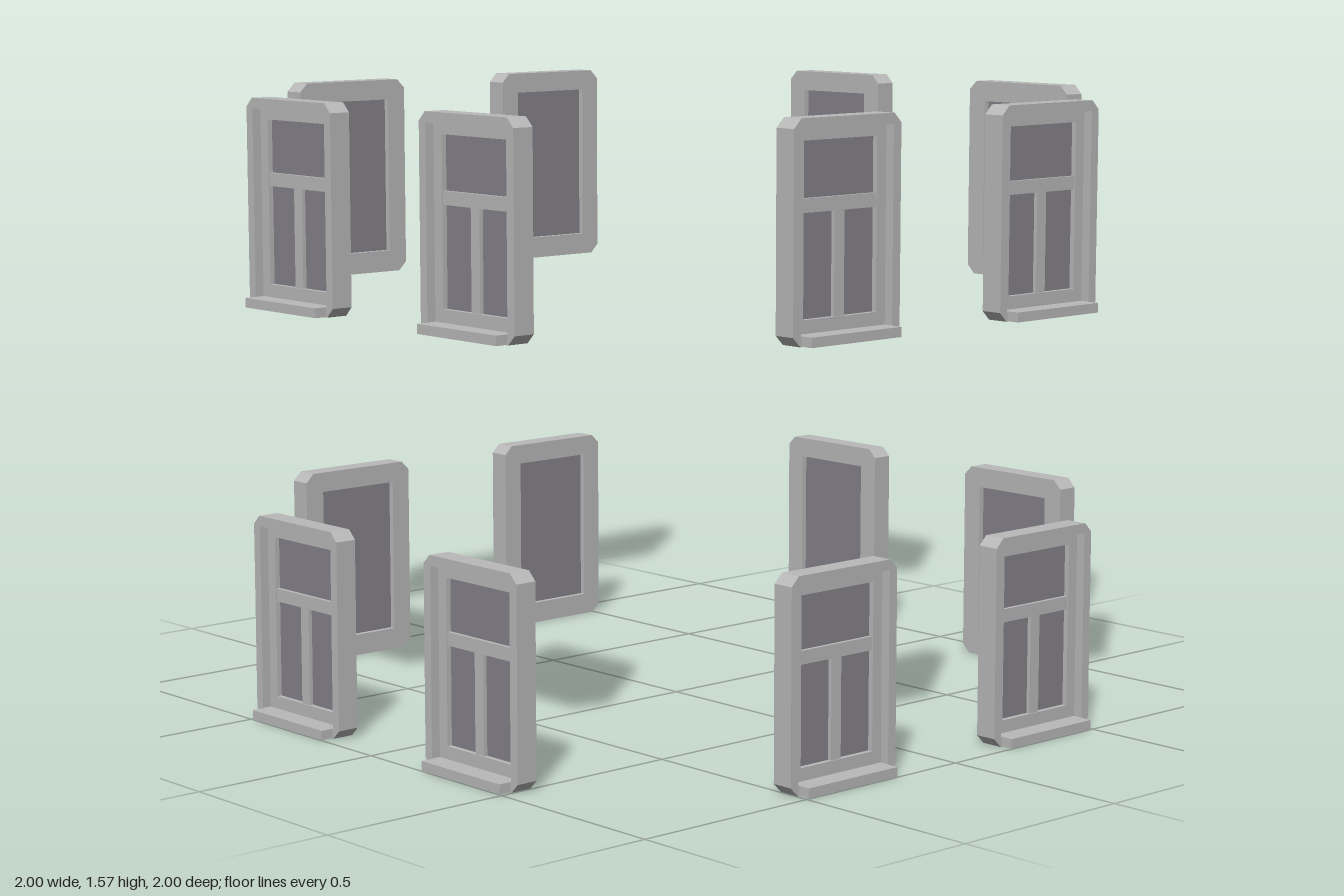
import * as THREE from 'three';

const frameMat = new THREE.MeshStandardMaterial({ color: 0xb9b9b9 });
frameMat.name = 'light grey frame';
const glassMat = new THREE.MeshStandardMaterial({ color: 0x85818a });
glassMat.name = 'grey glass';

const W = 0.346, H = 0.52;   // outer size of one window
const BACK = 0.91, FRONT = 0.967; // frame depth range
const STEP = 0.943;          // front of the recessed sash
const GLASS = 0.93;          // front of the pane

// Rectangle centred on x, from y0 to y1, with optional cut corners
function rect(path, w, y0, y1, c = 0) {
  const h = w / 2;
  const pts = c
    ? [[-h + c, y0], [h - c, y0], [h, y0 + c], [h, y1 - c], [h - c, y1], [-h + c, y1], [-h, y1 - c], [-h, y0 + c]]
    : [[-h, y0], [h, y0], [h, y1], [-h, y1]];
  path.setFromPoints(pts.map(([x, y]) => new THREE.Vector2(x, y)));
  return path;
}

function ring(outer, hole, z0, z1) {
  outer.holes.push(hole);
  const g = new THREE.ExtrudeGeometry(outer, { depth: z1 - z0, bevelEnabled: false });
  return g.translate(0, 0, z0);
}

function box(x0, x1, y0, y1, z0, z1) {
  return new THREE.BoxGeometry(x1 - x0, y1 - y0, z1 - z0)
    .translate((x0 + x1) / 2, (y0 + y1) / 2, (z0 + z1) / 2);
}

const parts = [
  // outer casing with cut corners, then the narrower sash set back inside it
  ['casing', ring(rect(new THREE.Shape(), W, 0, H, 0.023), rect(new THREE.Path(), 0.296, 0.025, 0.494), BACK, FRONT), frameMat],
  ['sash', ring(rect(new THREE.Shape(), 0.296, 0.025, 0.494), rect(new THREE.Path(), 0.236, 0.057, 0.467), BACK, STEP), frameMat],
  ['pane', box(-0.118, 0.118, 0.057, 0.467, GLASS - 0.005, GLASS), glassMat],
  // T-shaped glazing bars on the outside only
  ['crossBar', box(-0.118, 0.118, 0.302, 0.335, GLASS, STEP - 0.003), frameMat],
  ['uprightBar', box(-0.016, 0.016, 0.057, 0.302, GLASS, STEP - 0.003), frameMat],
  // sill projecting from the foot of the opening
  ['sill', box(-0.146, 0.146, 0.001, 0.025, FRONT - 0.02, 1), frameMat],
];

function makeWindow() {
  const g = new THREE.Group();
  for (const [name, geometry, material] of parts) {
    const m = new THREE.Mesh(geometry, material);
    m.name = name;
    g.add(m);
  }
  return g;
}

export function createModel() {
  const model = new THREE.Group();
  model.name = 'windowSet';
  // four walls, each with two columns and two rows of windows
  ['front', 'left', 'back', 'right'].forEach((side, i) => {
    const wall = new THREE.Group();
    wall.name = side + 'Windows';
    wall.rotation.y = i * Math.PI / 2;
    for (const y of [0, 1.05]) {
      for (const x of [-0.346, 0.346]) {
        const w = makeWindow();
        w.name = (y ? 'upper' : 'lower') + 'Window';
        w.position.set(x, y, 0);
        wall.add(w);
      }
    }
    model.add(wall);
  });
  return model;
}
